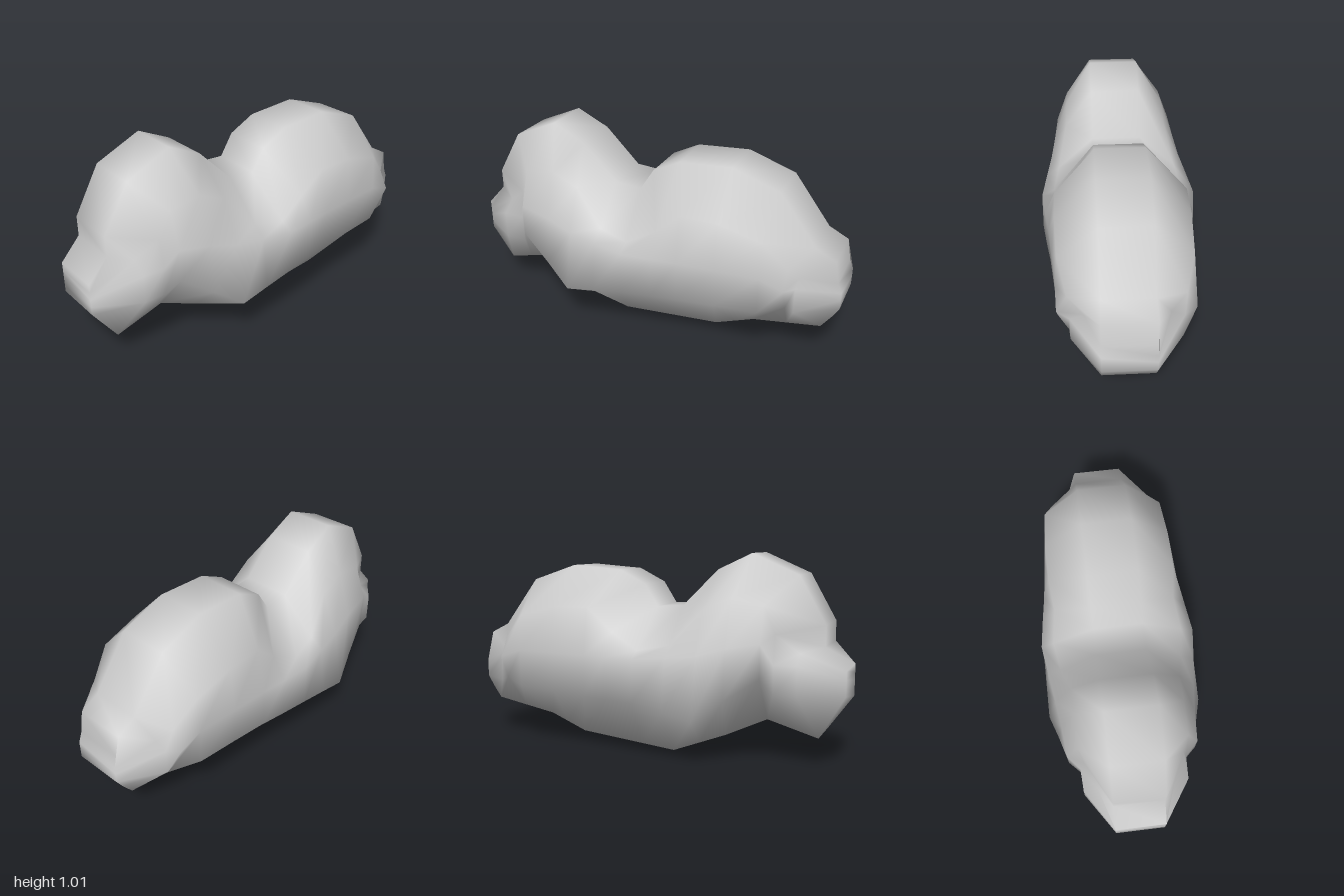
import * as THREE from 'three';

const RIDGE = 0.125; // half width of the flat strip along back and belly
const STATIONS = 15; // cross-sections from muzzle (0) to tail end (14)

// Back line [z, y], one point per station
const back = [
  [1, 0.47], [0.9, 0.58], [0.9, 0.68], [0.77, 0.91], [0.54, 1.01],
  [0.37, 0.93], [0.19, 0.75], [0.05, 0.74], [-0.02, 0.85], [-0.16, 0.92],
  [-0.43, 0.94], [-0.67, 0.86], [-0.86, 0.61], [-0.96, 0.56], [-0.98, 0.45],
];
// Depth of the side points at each station
const sideZ = [1, 0.8, 0.69, 0.64, 0.48, 0.34, 0.19, 0.03, -0.12, -0.25, -0.44, -0.65, -0.77, -0.81, -1];

// Guide lines keyed by station; stations in between are interpolated.
// Belly line [station, z, y]
const belly = [
  [0, 1, 0.31], [1, 0.88, 0.14], [3, 0.63, 0.21], [4, 0.42, 0.11], [6, 0.14, 0],
  [9, -0.38, 0.05], [11, -0.58, 0.13], [13, -0.92, 0.19], [14, -0.97, 0.26],
];
// Shoulder line around the humps, dipping in the saddle [station, x, y]
const shoulder = [
  [0, RIDGE, 0.43], [1, 0.19, 0.55], [2, 0.24, 0.64], [3, 0.26, 0.77], [4, 0.26, 0.8], [5, 0.265, 0.74],
  [6, 0.31, 0.57], [7, 0.335, 0.54], [8, 0.31, 0.62], [9, 0.32, 0.735], [10, 0.32, 0.735],
  [11, 0.31, 0.68], [12, 0.27, 0.55], [14, RIDGE, 0.4],
];
// Flank [station, upper x, upper y, lower x, lower y]
const flank = [
  [0, RIDGE, 0.39, RIDGE, 0.35], [1, 0.26, 0.5, 0.26, 0.36], [2, 0.265, 0.5, 0.26, 0.36],
  [3, 0.32, 0.6, 0.32, 0.44], [4, 0.335, 0.57, 0.365, 0.33], [5, 0.355, 0.53, 0.41, 0.23],
  [7, 0.4, 0.505, 0.405, 0.29], [11, 0.325, 0.5, 0.32, 0.31], [12, 0.32, 0.46, 0.265, 0.34],
  [13, 0.26, 0.45, 0.26, 0.32], [14, RIDGE, 0.36, RIDGE, 0.31],
];

// Values of a guide line at a station
function at(line, station) {
  const k = Math.max(1, line.findIndex(key => key[0] >= station));
  const [from, to] = [line[k - 1], line[k]];
  const t = (station - from[0]) / (to[0] - from[0]);
  return from.slice(1).map((v, i) => THREE.MathUtils.lerp(v, to[i + 1], t));
}

// Ten-sided ring: the left half from back to belly, then its mirror image
function ring(station) {
  const [backZ, backY] = back[station];
  const [bellyZ, bellyY] = at(belly, station);
  const [shoulderX, shoulderY] = at(shoulder, station);
  const [upperX, upperY, lowerX, lowerY] = at(flank, station);
  const z = sideZ[station];
  const half = [
    [RIDGE, backY, backZ],
    [shoulderX, shoulderY, z],
    [upperX, upperY, z],
    [lowerX, lowerY, z],
    [RIDGE, bellyY, bellyZ],
  ];
  return [...half, ...half.map(([x, y, depth]) => [-x, y, depth]).reverse()];
}

// Skins the rings together and closes both ends
function loft(rings) {
  const n = rings[0].length;
  const last = (rings.length - 1) * n;
  const index = [];
  const quad = (a, b, c, d) => index.push(a, b, c, b, d, c);
  for (let row = 0; row < last; row += n) {
    for (let j = 0; j < n; j++) {
      const a = row + j;
      const b = row + (j + 1) % n;
      quad(a, b, a + n, b + n);
    }
  }
  // caps: level strips from the left side to its mirror
  for (let j = 0; j < n / 2 - 1; j++) {
    const k = n - 1 - j;
    quad(j, k, j + 1, k - 1);
    quad(last + k, last + j, last + k - 1, last + j + 1);
  }
  const geometry = new THREE.BufferGeometry();
  geometry.setAttribute('position', new THREE.Float32BufferAttribute(rings.flat(2), 3));
  geometry.setIndex(index);
  geometry.computeVertexNormals();
  return geometry;
}

export function createModel() {
  const group = new THREE.Group();
  group.name = 'model';
  const rings = Array.from({ length: STATIONS }, (_, station) => ring(station));
  const body = new THREE.Mesh(loft(rings), new THREE.MeshStandardMaterial({ color: 0xcccccc }));
  body.name = 'body';
  group.add(body);
  return group;
}
